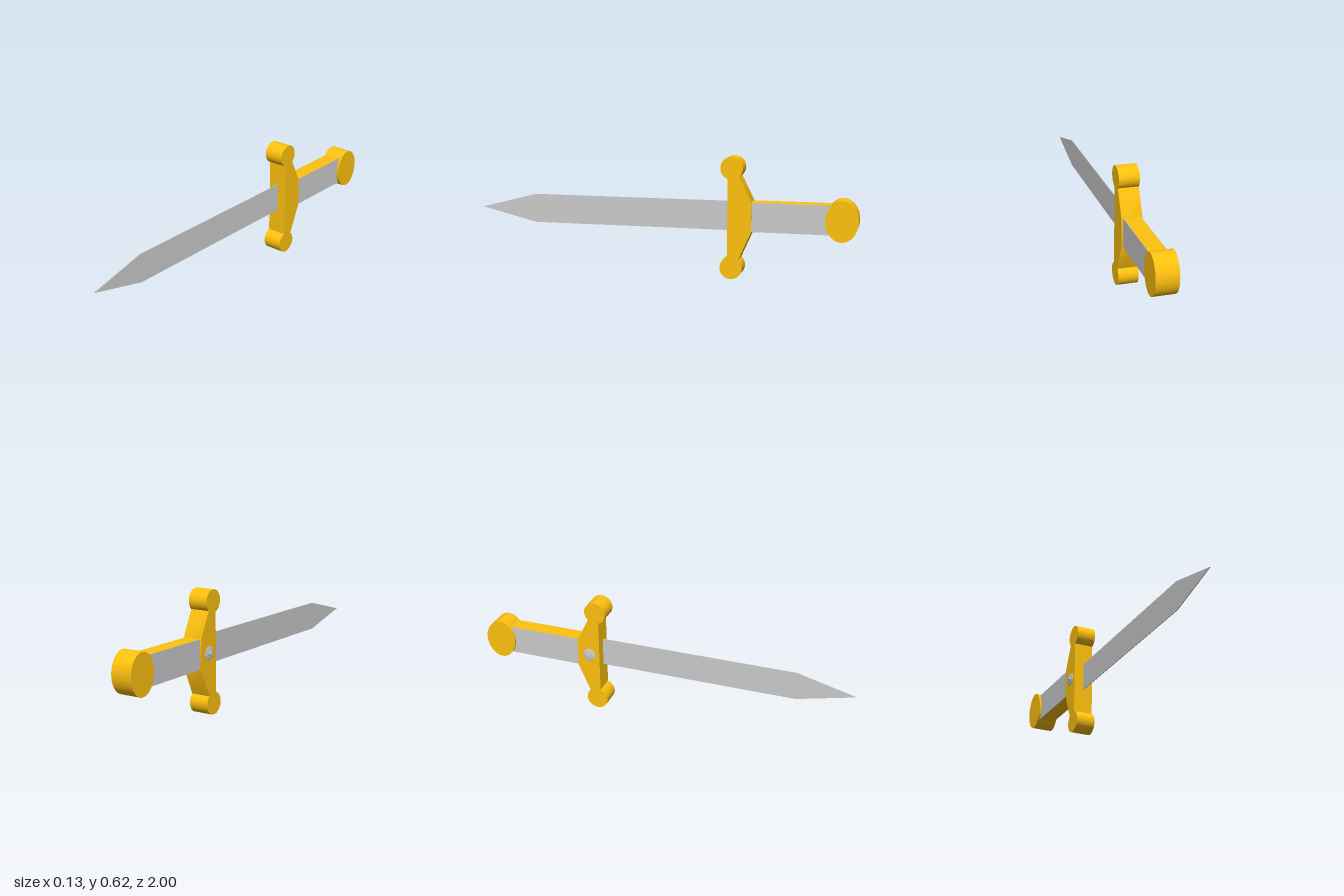
import * as THREE from 'three';
import { toCreasedNormals } from 'three/addons/utils/BufferGeometryUtils.js';

const gold = new THREE.MeshStandardMaterial({ color: 0xffc20f });
const grey = new THREE.MeshStandardMaterial({ color: 0xcccccc });
const MID_X = 0.005; // the hilt's centre plane

// Extrude a side profile drawn in (z, y) across x, centred on cx
function slab(name, shape, width, cx, material) {
  const geo = new THREE.ExtrudeGeometry(shape, { depth: width, bevelEnabled: false, curveSegments: 40 });
  geo.translate(0, 0, -width / 2).rotateY(-Math.PI / 2).translate(cx, 0, 0);
  const mesh = new THREE.Mesh(toCreasedNormals(geo, 0.5), material);
  mesh.name = name;
  return mesh;
}

function box(name, x0, x1, y0, y1, z0, z1, material) {
  const mesh = new THREE.Mesh(new THREE.BoxGeometry(x1 - x0, y1 - y0, z1 - z0), material);
  mesh.position.set((x0 + x1) / 2, (y0 + y1) / 2, (z0 + z1) / 2);
  mesh.name = name;
  return mesh;
}

export function createModel() {
  const sword = new THREE.Group();
  sword.name = 'sword';

  // Thin flat blade with a pointed tip
  const bladeShape = new THREE.Shape([[-0.45, 0.247], [0.7, 0.247], [1, 0.32], [0.7, 0.398], [-0.45, 0.398]]
    .map(([z, y]) => new THREE.Vector2(z, y)));
  sword.add(slab('blade', bladeShape, 0.004, 0.007, grey));

  // Crossguard: flat front, tapered back, round knob at each end
  const r = 0.0575, kz = -0.363, top = 0.5695, bottom = 0.0595;
  const front = 1.23, back = 2.3;
  const guard = new THREE.Shape();
  guard.moveTo(kz + r * Math.cos(front), bottom + r * Math.sin(front));
  guard.lineTo(kz + r * Math.cos(front), top - r * Math.sin(front));
  guard.absarc(kz, top, r, -front, 2 * Math.PI - back, false);
  guard.lineTo(-0.465, 0.398);
  guard.lineTo(-0.465, 0.247);
  guard.lineTo(kz + r * Math.cos(back), bottom + r * Math.sin(back));
  guard.absarc(kz, bottom, r, back, 2 * Math.PI + front, false);
  sword.add(slab('crossguard', guard, 0.104, MID_X, gold));

  // Grip with a grey panel on each side
  sword.add(box('grip', -0.037, 0.047, 0.248, 0.398, -0.87, -0.45, gold));
  sword.add(box('gripPanelRight', -0.039, -0.037, 0.248, 0.398, -0.87, -0.45, grey));
  sword.add(box('gripPanelLeft', 0.047, 0.049, 0.248, 0.398, -0.87, -0.45, grey));

  // Oval pommel
  const oval = new THREE.Shape();
  oval.absellipse(-0.917, 0.32, 0.082, 0.104, 0, 2 * Math.PI, false);
  sword.add(slab('pommel', oval, 0.112, 0.006, gold));

  // Small stepped stud on the right face of the guard
  const steps = [[0, -0.005], [0.035, -0.005], [0.034, 0.002], [0.028, 0.004], [0.014, 0.005],
    [0.014, 0.011], [0.006, 0.012], [0.005, 0.017], [0, 0.019]].map(([a, b]) => new THREE.Vector2(a, b));
  const studGeo = toCreasedNormals(new THREE.LatheGeometry(steps, 32), 0.5);
  const stud = new THREE.Mesh(studGeo, grey);
  stud.name = 'stud';
  stud.rotation.z = Math.PI / 2;
  stud.position.set(-0.047, 0.32, -0.4);
  sword.add(stud);

  return sword;
}
